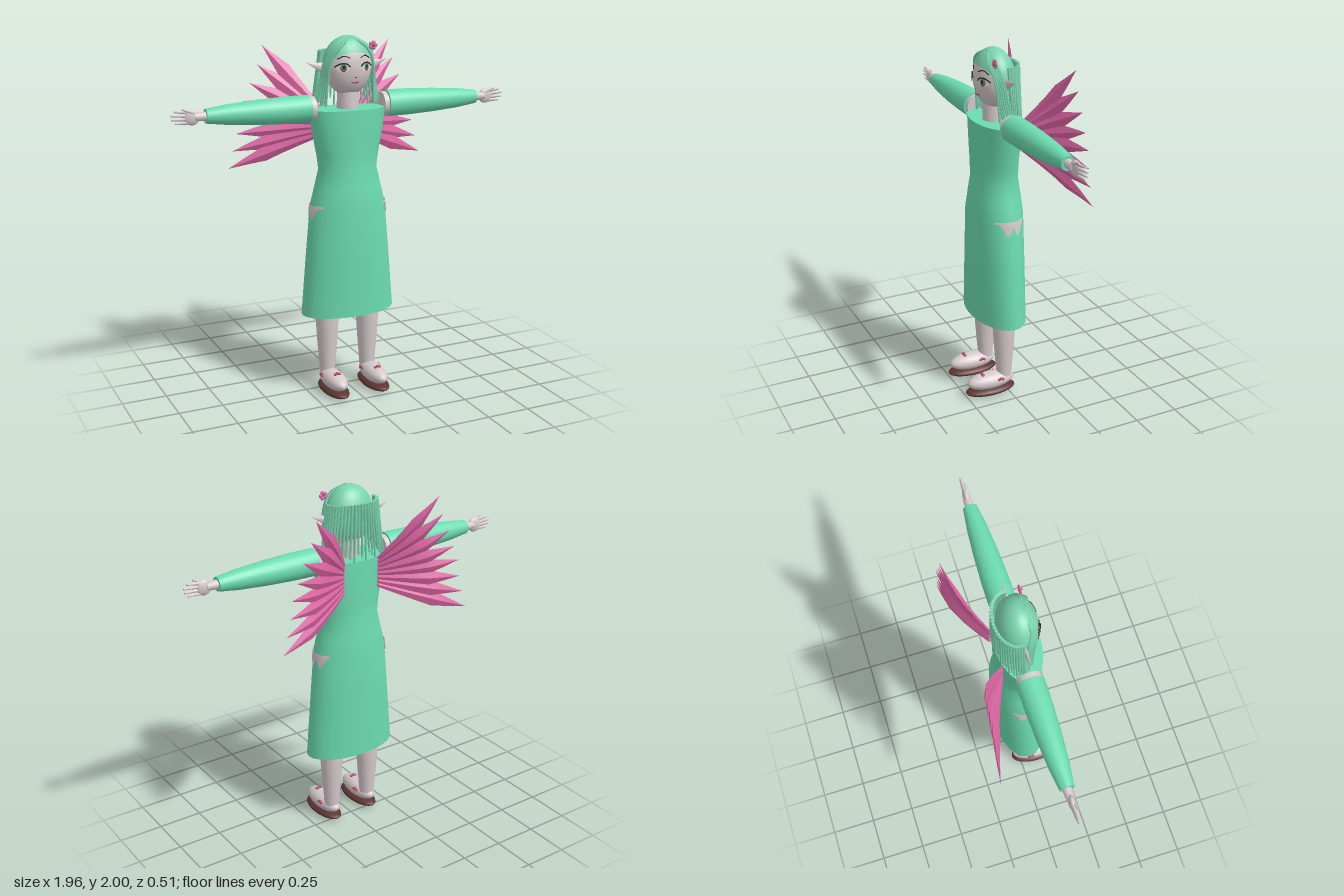
import * as THREE from 'three';
import { toCreasedNormals } from 'three/addons/utils/BufferGeometryUtils.js';

const mat = (name, color, side = THREE.FrontSide) => {
  const m = new THREE.MeshStandardMaterial({ color, side });
  m.name = name;
  return m;
};
const V = (x, y, z) => new THREE.Vector3(x, y, z);

export function createModel() {
  const model = new THREE.Group();
  model.name = 'wingedFigure';
  const green = mat('dress green', 0x6bdbb0);
  const hair = mat('hair green', 0x7ad3ae, THREE.DoubleSide);
  const skin = mat('skin', 0xd6cacd, THREE.DoubleSide);
  const pink = mat('wing pink', 0xdd66a3);
  const brown = mat('sole brown', 0x5c3531);
  const red = mat('flower red', 0xb5485a, THREE.DoubleSide);
  const dark = mat('lash dark', 0x2b2022, THREE.DoubleSide);
  const white = mat('eye white', 0xece6e6, THREE.DoubleSide);
  const iris = mat('iris green', 0x4f9c85, THREE.DoubleSide);

  const add = (name, geo, material) => {
    const m = new THREE.Mesh(geo, material);
    m.name = name;
    model.add(m);
    return m;
  };
  // Move every vertex of a geometry by a rule
  const bend = (geo, rule) => {
    const p = geo.attributes.position;
    for (let i = 0; i < p.count; i++) {
      const v = rule(p.getX(i), p.getY(i), p.getZ(i));
      p.setXYZ(i, v.x, v.y, v.z);
    }
    geo.computeVertexNormals();
    return geo;
  };
  const rod = (name, a, b, r1, r2, material, sides = 8) => {
    const d = b.clone().sub(a);
    const m = add(name, new THREE.CylinderGeometry(r2, r1, d.length(), sides), material);
    m.position.copy(a).add(b).multiplyScalar(0.5);
    m.quaternion.setFromUnitVectors(V(0, 1, 0), d.normalize());
    return m;
  };
  const ball = (name, x, y, z, rx, ry, rz, material) => {
    const m = add(name, new THREE.SphereGeometry(1, 24, 16), material);
    m.position.set(x, y, z);
    m.scale.set(rx, ry, rz);
    return m;
  };
  const tube = (name, pts, r, material) =>
    add(name, new THREE.TubeGeometry(new THREE.CatmullRomCurve3(pts), 16, r, 6), material);
  const lathe = (pts, sides = 24) =>
    new THREE.LatheGeometry(pts.map(([r, y]) => new THREE.Vector2(r, y)), sides);

  // Dress: rows of height, half width, half depth
  const rows = [[0.46, 0.275, 0.147], [0.8, 0.245, 0.147], [1.08, 0.218, 0.145], [1.18, 0.192, 0.135],
    [1.28, 0.167, 0.122], [1.36, 0.178, 0.12], [1.46, 0.199, 0.121], [1.61, 0.225, 0.12]];
  const dressAt = y => {
    let i = 1;
    while (i < rows.length - 1 && rows[i][0] < y) i++;
    const [a, b] = [rows[i - 1], rows[i]];
    const t = THREE.MathUtils.clamp((y - a[0]) / (b[0] - a[0]), 0, 1);
    return [a[1] + (b[1] - a[1]) * t, a[2] + (b[2] - a[2]) * t];
  };
  const profile = [[0, 0.46], ...rows.map(r => [r[1], r[0]]), [0, 1.61]];
  add('dress', toCreasedNormals(bend(lathe(profile), (x, y, z) => {
    const [w, d] = dressAt(y);
    return V(x, y, 0.018 + z * d / w);
  }), 0.7), green);

  // Head and neck
  const faceZ = (x, y) =>
    0.025 + 0.1 * Math.sqrt(Math.max(0, 1 - (x / 0.131) ** 2 - ((y - 1.838) / 0.16) ** 2));
  ball('head', 0, 1.838, 0.025, 0.131, 0.16, 0.1, skin);
  rod('neck', V(0, 1.6, 0.02), V(0, 1.74, 0.02), 0.06, 0.056, skin, 20);
  const faceDisc = (name, cx, cy, rx, ry, lift, material) =>
    add(name, bend(new THREE.RingGeometry(0, 1, 24, 3), (x, y) => {
      const px = cx + x * rx, py = cy + y * ry;
      return V(px, py, faceZ(px, py) + lift);
    }), material);
  const faceLine = (name, pts, r, material) =>
    tube(name, pts.map(([x, y]) => V(x, y, faceZ(x, y) + 0.003)), r, material);
  faceLine('mouth', [[-0.02, 1.76], [0, 1.755], [0.02, 1.76]], 0.004, red);
  faceDisc('nose', 0, 1.785, 0.004, 0.004, 0.003, dark);

  // Hair cap tilted back over the skull
  const cap = new THREE.SphereGeometry(1, 32, 20, 0, Math.PI * 2, 0, 1.68);
  cap.rotateX(-0.62).scale(0.142, 0.164, 0.108).translate(0, 1.836, 0.02);
  add('hairCap', cap, hair);

  // Curtain of straight strands around the back
  const count = 27;
  for (let i = 0; i < count; i++) {
    const a = (i / (count - 1) - 0.5) * Math.PI * 1.06;
    const [sx, cz] = [Math.sin(a), Math.cos(a)];
    rod('backStrand', V(0.148 * sx, 1.92, -0.005 - 0.095 * cz),
      V(0.19 * sx, 1.61 + 0.02 * (i % 3), -0.01 - 0.095 * cz), 0.0095, 0.005, hair, 6)
      .scale.set(1, 1, 1);
  }

  // Flower beside the parting
  for (let i = 0; i < 5; i++) {
    const a = i * Math.PI * 0.4;
    ball('hairFlowerPetal', 0.125 + 0.015 * Math.cos(a), 1.945 + 0.015 * Math.sin(a), 0.072,
      0.011, 0.011, 0.007, pink);
  }
  ball('hairFlowerCentre', 0.125, 1.945, 0.078, 0.009, 0.009, 0.006, red);

  // Wing feathers: tip x, tip height
  const feathers = [[0.385, 1.938], [0.415, 1.835], [0.46, 1.735], [0.50, 1.64],
    [0.535, 1.555], [0.545, 1.46], [0.57, 1.365], [0.595, 1.27]];

  for (const s of [1, -1]) {
    // Eyes and brows
    faceDisc('eyeWhite', s * 0.068, 1.836, 0.033, 0.022, 0.003, white);
    faceDisc('iris', s * 0.067, 1.837, 0.017, 0.021, 0.005, iris);
    faceDisc('irisGlow', s * 0.067, 1.828, 0.011, 0.011, 0.007, red);
    faceDisc('pupil', s * 0.067, 1.841, 0.007, 0.009, 0.008, dark);
    faceLine('lash', [[s * 0.032, 1.842], [s * 0.05, 1.858], [s * 0.08, 1.858], [s * 0.106, 1.842]], 0.004, dark);
    faceLine('brow', [[s * 0.03, 1.888], [s * 0.06, 1.898], [s * 0.095, 1.882]], 0.003, dark);

    // Pointed ear
    rod('ear', V(s * 0.115, 1.825, 0.015), V(s * 0.235, 1.862, 0.012), 0.036, 0.001, skin, 8)
      .scale.set(1, 1, 0.45);

    // Front locks falling from the parting
    for (let i = 0; i < 6; i++) {
      const f = i / 5;
      tube('frontLock', [V(0, 1.99, 0.05 - 0.02 * f), V(s * (0.068 + 0.025 * f), 1.95, 0.088 - 0.03 * f),
        V(s * (0.122 + 0.018 * f), 1.87, 0.075 - 0.04 * f), V(s * (0.134 + 0.024 * f), 1.76, 0.06 - 0.045 * f),
        V(s * (0.142 + 0.05 * f), 1.63 + 0.02 * (i % 2), 0.05 - 0.05 * f)], 0.0075, hair);
    }

    // Sleeve with a bare shoulder disc at its inner end
    const sleeve = lathe([[0, 0.23], [0.074, 0.23], [0.073, 0.36], [0.066, 0.52], [0.054, 0.68], [0.038, 0.8], [0, 0.8]]);
    sleeve.rotateZ(-s * Math.PI / 2).translate(0, 1.619, 0.015);
    add('sleeve', toCreasedNormals(sleeve, 0.7), green);
    rod('shoulder', V(s * 0.2, 1.619, 0.015), V(s * 0.228, 1.619, 0.015), 0.066, 0.066, skin, 24);

    // Hand
    rod('wrist', V(s * 0.79, 1.619, 0.015), V(s * 0.86, 1.619, 0.015), 0.025, 0.022, skin, 12);
    ball('palm', s * 0.872, 1.619, 0.015, 0.042, 0.042, 0.018, skin);
    [[0.965, 1.652], [0.982, 1.632], [0.98, 1.611], [0.96, 1.59]].forEach(([x, y], i) => {
      rod('finger', V(s * 0.885, 1.644 - i * 0.017, 0.015), V(s * x, y, 0.015), 0.011, 0.005, skin);
    });
    rod('thumb', V(s * 0.86, 1.64, 0.022), V(s * 0.925, 1.664, 0.028), 0.011, 0.005, skin);

    // Bare patch at the hip, with two pointed tabs
    const depths = [0.012, 0.03, 0.06, 0.08, 0.07, 0.035, 0.05, 0.08, 0.075, 0.05, 0.02, 0.012, 0.01];
    add('hipPatch', bend(new THREE.PlaneGeometry(1, 1, 12, 3), (x, y) => {
      const z = 0.02 + x * 0.165;
      const h = 1.09 - (0.5 - y) * depths[Math.round((x + 0.5) * 12)];
      const [w, d] = dressAt(h);
      return V(s * (w * Math.sqrt(1 - ((z - 0.018) / d) ** 2) + 0.005), h, z);
    }), skin);

    // Leg, foot, sole and shoe flowers
    const leg = lathe([[0.043, 0.1], [0.047, 0.16], [0.058, 0.3], [0.064, 0.4], [0.064, 0.5]], 20);
    leg.translate(s * 0.125, 0, 0.017);
    add('leg', leg, skin);
    ball('foot', s * 0.125, 0.083, 0.102, 0.06, 0.05, 0.143, skin);
    ball('sole', s * 0.125, 0.027, 0.103, 0.07, 0.027, 0.152, brown);
    for (const [x, y, z] of [[0, 0.131, 0.155], [0.053, 0.1, 0.06], [-0.053, 0.1, 0.06]]) {
      for (const k of [-1, 0, 1]) {
        ball('shoeFlower', s * 0.125 + x + (x ? 0 : k * 0.012), y + (k ? 0 : 0.004), z + (x ? k * 0.012 : 0),
          0.009, 0.008, 0.009, red);
      }
    }

    // Wing: diamond-section feathers fanning from the back
    feathers.forEach(([tx, ty], i) => {
      const root = V(s * 0.11, 1.6 - i * 0.021, -0.095);
      const tip = V(s * tx, ty, -0.257);
      const axis = tip.clone().sub(root).setZ(0).normalize();
      const g = bend(new THREE.CylinderGeometry(1, 1, 1, 4, 5), (x, y, z) => {
        const t = y + 0.5;
        const w = t < 0.6 ? 0.012 + 0.028 * t / 0.6 : 0.1 * (1 - t);
        const p = root.clone().lerp(tip, t);
        p.z -= 0.025 * Math.sin(Math.PI * t);
        return V(p.x + axis.y * x * w, p.y - axis.x * x * w, p.z + z * w * 0.4);
      });
      add('wingFeather', toCreasedNormals(g, 0.4), pink);
    });
  }
  return model;
}
